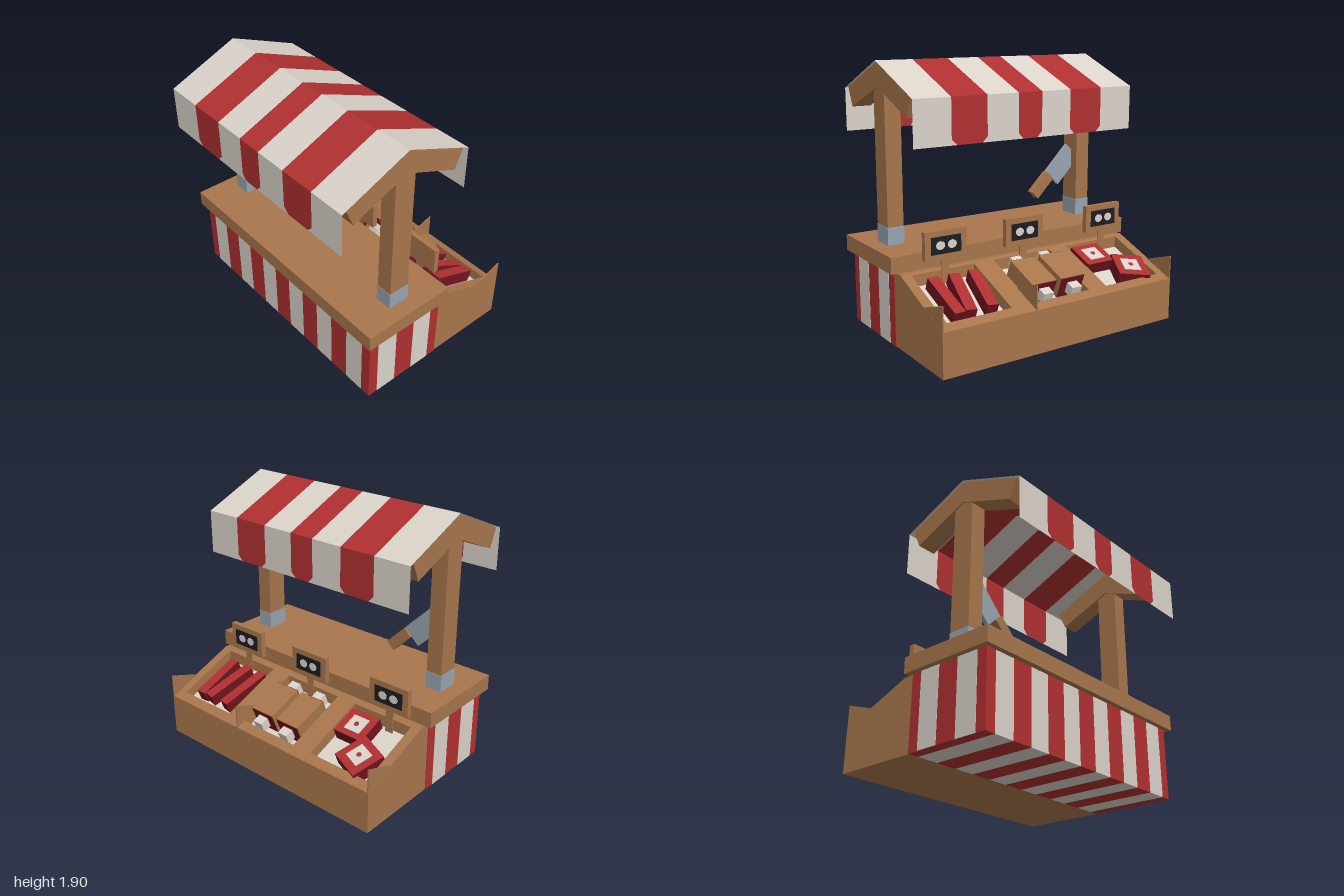
import * as THREE from 'three';

const mat = (name, color, side = THREE.FrontSide) => {
  const m = new THREE.MeshStandardMaterial({ color, side });
  m.name = name;
  return m;
};

export function createModel() {
  const wood = mat('wood', 0xa8764c);
  const red = mat('red', 0xb03030);
  const white = mat('cream', 0xdad3ca);
  const redCloth = mat('red cloth', 0xb03030, THREE.DoubleSide);
  const whiteCloth = mat('cream cloth', 0xdad3ca, THREE.DoubleSide);
  const darkRed = mat('dark red', 0x701520);
  const metal = mat('metal', 0x98a4b0);
  const black = mat('slate', 0x1c1d22);

  const model = new THREE.Group();
  const add = (name, geometry, material, parent = model) => {
    const mesh = new THREE.Mesh(geometry, material);
    mesh.name = name;
    parent.add(mesh);
    return mesh;
  };
  // Box given by its limits on each axis
  const box = (name, material, [x0, x1], [y0, y1], [z0, z1], parent = model) => {
    const g = new THREE.BoxGeometry(x1 - x0, y1 - y0, z1 - z0);
    g.translate((x0 + x1) / 2, (y0 + y1) / 2, (z0 + z1) / 2);
    return add(name, g, material, parent);
  };
  // Side profile in (z, y), extruded from x0 to x1
  const profile = (name, material, points, x0, x1) => {
    const shape = new THREE.Shape(points.map(([z, y]) => new THREE.Vector2(z, y)));
    const g = new THREE.ExtrudeGeometry(shape, { depth: x1 - x0, bevelEnabled: false });
    g.rotateY(-Math.PI / 2).translate(x1, 0, 0);
    return add(name, g, material);
  };

  // Counter: striped cloth body and wooden top
  const edges = [-0.96, -0.88, -0.72, -0.56, -0.4, -0.24, -0.08, 0.08, 0.24, 0.4, 0.56, 0.72, 0.88, 0.96];
  for (let i = 0; i < edges.length - 1; i++) {
    box('counterStripe', i % 2 ? white : red, [edges[i], edges[i + 1]], [0, 0.53], [-0.1, 0.54]);
  }
  for (const s of [-1, 1]) {
    for (const z of [[0.3, 0.465], [-0.02, 0.14]]) {
      box('counterSideStripe', white, [s * 0.96 - 0.002, s * 0.96 + 0.002], [0.001, 0.525], z);
    }
  }
  box('counterTop', wood, [-1, 1], [0.525, 0.64], [-0.14, 0.58]);

  // Posts, metal shoes and roof rafters
  for (const s of [-1, 1]) {
    const x = s * 0.82;
    box('post', wood, [x - 0.06, x + 0.06], [0.64, 1.76], [0.14, 0.3]);
    box('postShoe', metal, [x - 0.063, x + 0.063], [0.64, 0.765], [0.137, 0.303]);
    profile('rafter', wood, [[0.7, 1.692], [0.22, 1.892], [-0.26, 1.692], [-0.2, 1.555], [0.22, 1.725], [0.64, 1.555]],
      x - 0.07, x + 0.07);
  }

  // Canopy: each stripe runs over the ridge and hangs down on both sides
  const section = [[0.735, 1.37], [0.735, 1.41], [0.735, 1.685], [0.22, 1.9], [-0.3, 1.685], [-0.3, 1.41], [-0.3, 1.37]];
  const seams = [-0.9, -0.62, -0.345, -0.1, 0.095, 0.345, 0.62, 0.9];
  for (let i = 0; i < seams.length - 1; i++) {
    const isRed = i % 2 === 1;
    const flare = isRed ? -0.04 : 0.04;
    const rows = section.map(([z, y], k) => {
      const f = k === 0 || k === section.length - 1 ? flare : 0;
      return [
        [seams[i] - (i > 0 ? f : 0), y, z],
        [seams[i + 1] + (i < seams.length - 2 ? f : 0), y, z],
      ];
    });
    const pos = [];
    for (let k = 0; k < rows.length - 1; k++) {
      const [a, b] = rows[k], [d, c] = rows[k + 1];
      pos.push(...a, ...b, ...c, ...a, ...c, ...d);
    }
    const g = new THREE.BufferGeometry();
    g.setAttribute('position', new THREE.Float32BufferAttribute(pos, 3));
    g.computeVertexNormals();
    add('canopyStripe', g, isRed ? redCloth : whiteCloth);
  }

  // Sloping display crate: solid walls and dividers with three bins between them
  const rim = (z) => 0.415 + 0.39 * (z + 0.46);
  const solid = [[-0.1, 0], [-0.1, 0.525], [-0.18, 0.525], [-0.735, rim(-0.735)], [-0.735, 0]];
  for (const [x0, x1] of [[-0.955, -0.885], [-0.4, -0.245], [0.24, 0.4], [0.885, 0.955]]) {
    profile('crateWall', wood, solid, x0, x1);
  }
  const hollow = [[-0.1, 0], [-0.1, 0.525], [-0.18, 0.525], [-0.2, rim(-0.2)], [-0.2, rim(-0.2) - 0.09],
    [-0.665, rim(-0.665) - 0.09], [-0.665, rim(-0.665)], [-0.735, rim(-0.735)], [-0.735, 0]];
  for (const [x0, x1] of [[-0.885, -0.4], [-0.245, 0.24], [0.4, 0.885]]) {
    profile('crateBin', wood, hollow, x0, x1);
    profile('binFloor', white, [[-0.2, rim(-0.2) - 0.092], [-0.2, rim(-0.2) - 0.084],
      [-0.665, rim(-0.665) - 0.084], [-0.665, rim(-0.665) - 0.092]], x0, x1);
  }
  // Upright triangular corner plates at the back of the crate
  for (const x of [-0.95, 0.245, 0.95]) {
    profile('crateFin', wood, [[-0.5, rim(-0.5)], [-0.735, 0.48], [-0.735, rim(-0.735)]], x - 0.004, x + 0.004);
  }

  // Goods lie in the plane of the slope
  const goods = new THREE.Group();
  goods.name = 'goods';
  goods.position.set(0, 0.415, -0.46);
  goods.rotation.x = -Math.atan(0.39);
  model.add(goods);
  const redTop = [darkRed, darkRed, red, darkRed, darkRed, darkRed];

  // Wrapped joints with red ends and a bone through the middle
  for (const x of [-0.14, 0.1]) {
    box('wrapping', wood, [x - 0.1, x + 0.1], [-0.08, 0.08], [-0.14, 0.14], goods);
    box('jointEnds', darkRed, [x - 0.098, x + 0.098], [-0.078, 0.078], [-0.144, 0.144], goods);
    box('bone', white, [x - 0.04, x + 0.04], [-0.04, 0.04], [-0.21, 0.225], goods);
  }
  // Long red strips
  for (const [x, turn] of [[0.48, -0.17], [0.638, -0.2], [0.76, 0]]) {
    const strip = box('meatStrip', redTop, [-0.04, 0.04], [-0.085, 0.012], [-0.19, 0.19], goods);
    strip.position.set(x, 0, 0.02);
    strip.rotation.y = turn;
  }
  // Red slabs with a pale square and a round centre
  for (const [x, y, z, turn, w, d] of [[-0.73, 0.015, -0.09, -0.38, 0.24, 0.24], [-0.54, 0, 0.125, 0, 0.24, 0.22]]) {
    const slab = new THREE.Group();
    slab.name = 'slab';
    slab.position.set(x, y, z);
    slab.rotation.y = turn;
    goods.add(slab);
    box('slabBody', redTop, [-w / 2, w / 2], [-0.085, 0.01], [-d / 2, d / 2], slab);
    box('slabSquare', white, [-0.065, 0.065], [0.008, 0.014], [-0.065, 0.065], slab);
    add('slabCentre', new THREE.CylinderGeometry(0.018, 0.018, 0.006, 12), red, slab).position.y = 0.014;
  }

  // Price boards facing the back
  for (const x of [-0.72, 0, 0.64]) {
    box('signBoard', wood, [x - 0.16, x + 0.16], [0.6, 0.8], [-0.24, -0.2]);
    box('signStick', wood, [x - 0.03, x + 0.03], [0.42, 0.61], [-0.224, -0.216]);
    box('signSlate', black, [x - 0.115, x + 0.115], [0.64, 0.76], [-0.244, -0.238]);
    for (const dx of [-0.045, 0.045]) {
      const mark = add('chalkMark', new THREE.CylinderGeometry(0.03, 0.03, 0.004, 12), white);
      mark.rotation.x = Math.PI / 2;
      mark.scale.x = 1.15;
      mark.position.set(x + dx, 0.7, -0.245);
    }
  }

  // Cleaver stuck in the right post
  const cleaver = new THREE.Group();
  cleaver.name = 'cleaver';
  cleaver.position.set(-0.575, 0.945, 0.22);
  cleaver.rotation.z = -Math.PI / 4;
  model.add(cleaver);
  box('blade', metal, [-0.28, 0], [-0.08, 0.08], [-0.015, 0.015], cleaver);
  box('handle', wood, [0, 0.205], [0, 0.078], [-0.03, 0.03], cleaver);

  return model;
}
